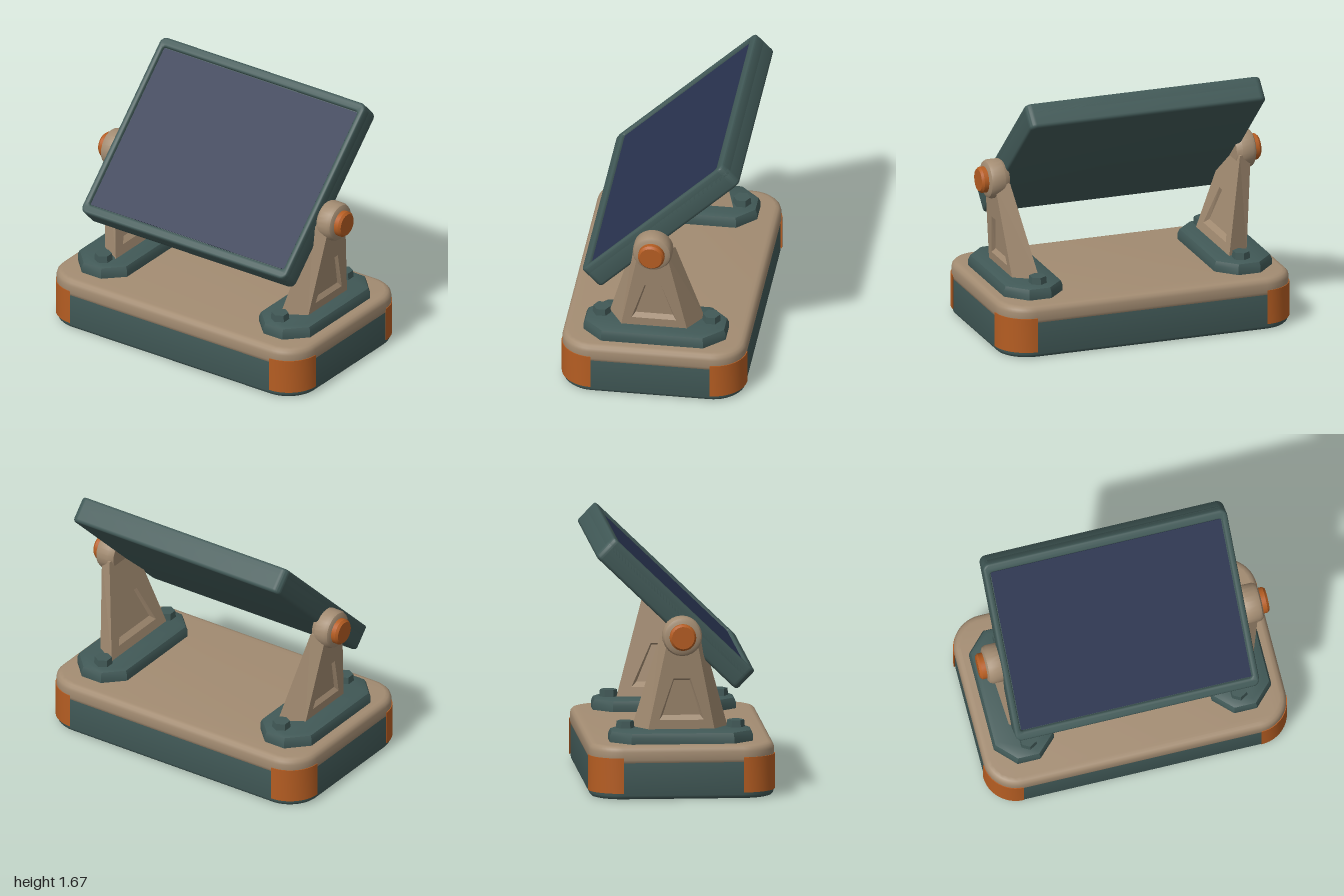
import * as THREE from 'three';
import { toCreasedNormals } from 'three/addons/utils/BufferGeometryUtils.js';

const material = (name, color) => {
  const m = new THREE.MeshStandardMaterial({ color });
  m.name = name;
  return m;
};

// Rectangle with rounded corners, centred on the origin
function roundedRect(w, h, r, Type = THREE.Shape) {
  const s = new Type(), x = w / 2, y = h / 2;
  s.moveTo(-x + r, -y);
  s.lineTo(x - r, -y);
  s.absarc(x - r, -y + r, r, -Math.PI / 2, 0);
  s.lineTo(x, y - r);
  s.absarc(x - r, y - r, r, 0, Math.PI / 2);
  s.lineTo(-x + r, y);
  s.absarc(-x + r, y - r, r, Math.PI / 2, Math.PI);
  s.lineTo(-x, -y + r);
  s.absarc(-x + r, -y + r, r, Math.PI, Math.PI * 1.5);
  return s;
}

// Slab between z0 and z1 with softened rims
function slab(shape, z0, z1, bevel, segments = 3) {
  const g = new THREE.ExtrudeGeometry(shape, {
    depth: z1 - z0 - 2 * bevel, bevelEnabled: bevel > 0, bevelThickness: bevel,
    bevelSize: bevel, bevelOffset: -bevel, bevelSegments: segments, curveSegments: 6,
  });
  g.translate(0, 0, z0 + bevel);
  return toCreasedNormals(g, 0.6);
}
const upright = (g) => g.rotateX(-Math.PI / 2);

// Turned part whose axis lies along x
function turned(profile) {
  const g = new THREE.LatheGeometry(profile.map(([r, x]) => new THREE.Vector2(r, x)), 24);
  return toCreasedNormals(g.rotateZ(-Math.PI / 2), 0.6);
}

// Tapered bracket with a shallow pocket in its inner and outer faces
function bracketGeometry() {
  const pos = [];
  const quad = (a, b, c, d) => [a, b, c, a, c, d].forEach((p) => pos.push(p.x, p.y, p.z));
  const bridge = (A, B) => A.forEach((p, i) => {
    const j = (i + 1) % 4;
    quad(p, A[j], B[j], B[i]);
  });
  const ring = (x0, x1, y0, y1, z0, z1) => [
    new THREE.Vector3(x0, y0, z0), new THREE.Vector3(x0, y0, -z0),
    new THREE.Vector3(x1, y1, -z1), new THREE.Vector3(x1, y1, z1)];
  // Smaller ring lying in the face, from height t0 to t1, sunk by dx
  const inset = (R, t0, t1, s0, s1, dx) => {
    const at = (t, s) => {
      const a = R[0].clone().lerp(R[3], t);
      return new THREE.Vector3(a.x + dx, a.y, a.z * s);
    };
    return [at(t0, s0), at(t0, -s0), at(t1, -s1), at(t1, s1)];
  };
  const outer = ring(0.815, 0.89, 0.41, 1.03, 0.215, 0.09);
  const inner = ring(0.66, 0.8, 0.41, 1.03, 0.31, 0.135);
  bridge(inner, outer);
  for (const [face, dx, flip] of [[outer, -0.022, false], [inner, 0.022, true]]) {
    const rings = [face, inset(face, 0.12, 0.56, 0.72, 0.38, 0), inset(face, 0.17, 0.54, 0.62, 0.34, dx)];
    if (flip) rings.forEach((r) => r.reverse());
    bridge(rings[0], rings[1]);
    bridge(rings[1], rings[2]);
    quad(...rings[2]);
  }
  const g = new THREE.BufferGeometry();
  g.setAttribute('position', new THREE.Float32BufferAttribute(pos, 3));
  g.computeVertexNormals();
  return g;
}

export function createModel() {
  const teal = material('dark teal', 0x415957);
  const tan = material('tan', 0xa38c72);
  const orange = material('burnt orange', 0xb55d22);
  const navy = material('navy screen', 0x28324e);

  const model = new THREE.Group();
  model.name = 'tiltingScreenStand';
  const add = (parent, name, geometry, mat) => {
    const mesh = new THREE.Mesh(geometry, mat);
    mesh.name = name;
    parent.add(mesh);
    return mesh;
  };

  // Base: teal body, tan lid, orange corner guards
  add(model, 'baseBody', upright(slab(roundedRect(1.98, 1.18, 0.21), 0, 0.3, 0.025)), teal);
  add(model, 'baseLid', upright(slab(roundedRect(1.99, 1.19, 0.21), 0.215, 0.345, 0.04)), tan);
  for (const sx of [-1, 1]) for (const sz of [-1, 1]) {
    const start = Math.atan2(sz, sx) - Math.PI / 4;
    const guard = new THREE.Shape();
    guard.moveTo(sx * 0.785, sz * 0.385);
    guard.absarc(sx * 0.785, sz * 0.385, 0.215, start, start + Math.PI / 2);
    guard.closePath();
    add(model, 'cornerGuard', upright(slab(guard, 0.04, 0.268, 0)), orange);
  }

  // Side supports: the left is built in place, the right is the same turned round
  const foot = new THREE.Shape([[0.52, -0.34], [0.64, -0.46], [0.79, -0.46], [0.915, -0.33],
    [0.915, 0.33], [0.79, 0.46], [0.64, 0.46], [0.52, 0.34]].map((p) => new THREE.Vector2(...p)));
  const footGeometry = upright(slab(foot, 0.28, 0.425, 0.04, 2));
  const bracket = bracketGeometry();
  const hub = turned([[0, 0.79], [0.105, 0.79], [0.127, 0.825], [0.127, 0.895], [0.118, 0.915], [0.1, 0.925], [0, 0.925]]);
  const knob = turned([[0, 0.9], [0.085, 0.9], [0.085, 0.955], [0.072, 0.97], [0, 0.97]]);
  const boltGeometry = toCreasedNormals(new THREE.CylinderGeometry(0.055, 0.062, 0.07, 6), 0.4);
  for (const side of [1, -1]) {
    const support = new THREE.Group();
    support.name = side > 0 ? 'leftSupport' : 'rightSupport';
    support.rotation.y = side > 0 ? 0 : Math.PI;
    add(support, 'foot', footGeometry, teal);
    for (const z of [-0.355, 0.355]) add(support, 'bolt', boltGeometry, teal).position.set(0.695, 0.435, z);
    const arm = new THREE.Group();
    arm.name = 'arm';
    arm.position.x = side > 0 ? 0 : -0.03;
    add(arm, 'bracket', bracket, tan);
    add(arm, 'hub', hub, tan).position.y = 1.035;
    add(arm, 'knob', knob, orange).position.y = 1.035;
    support.add(arm);
    model.add(support);
  }

  // Tilted panel: solid back, raised bezel and recessed screen
  const panel = new THREE.Group();
  panel.name = 'panel';
  panel.position.set(0.005, 1.172, -0.04);
  panel.rotation.x = -THREE.MathUtils.degToRad(46);
  add(panel, 'panelBody', slab(roundedRect(1.61, 1.265, 0.045), -0.085, 0.06, 0.022), teal);
  const bezel = roundedRect(1.61, 1.265, 0.045);
  bezel.holes.push(roundedRect(1.53, 1.14, 0.02, THREE.Path));
  add(panel, 'bezel', slab(bezel, 0, 0.085, 0.014), teal);
  add(panel, 'screen', new THREE.BoxGeometry(1.52, 1.13, 0.006).translate(0, 0, 0.064), navy);
  model.add(panel);

  return model;
}
